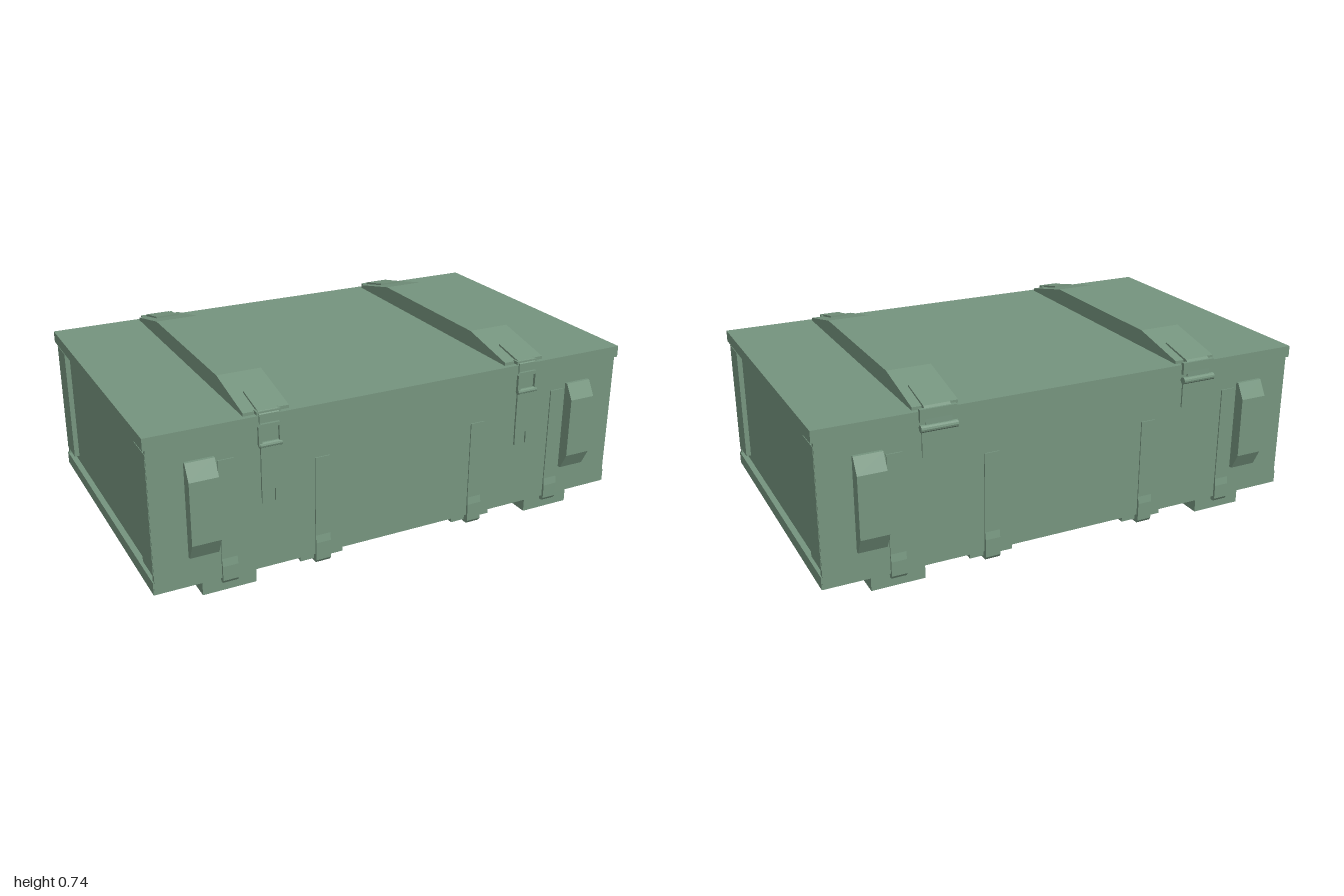
import * as THREE from 'three';

const material = new THREE.MeshStandardMaterial({ color: 0x76957f, flatShading: true });

export function createModel() {
  const model = new THREE.Group();

  const add = (name, geometry, x = 0, y = 0, z = 0) => {
    const mesh = new THREE.Mesh(geometry, material);
    mesh.name = name;
    mesh.position.set(x, y, z);
    model.add(mesh);
    return mesh;
  };
  // Box given by its limits on each axis
  const box = (name, x0, x1, y0, y1, z0, z1) =>
    add(name, new THREE.BoxGeometry(x1 - x0, y1 - y0, z1 - z0), (x0 + x1) / 2, (y0 + y1) / 2, (z0 + z1) / 2);
  // Side profile of [z, y] points, extruded along x and centred on x
  const profile = (name, points, x, width) => {
    const shape = new THREE.Shape(points.map(([z, y]) => new THREE.Vector2(z, y)));
    const geometry = new THREE.ExtrudeGeometry(shape, { depth: width, bevelEnabled: false });
    geometry.translate(0, 0, -width / 2).rotateY(-Math.PI / 2);
    return add(name, geometry, x);
  };

  // Crate shell: floor board, walls and lid
  box('floorBoard', -0.995, 0.995, 0.06, 0.11, -0.597, 0.597);
  box('body', -0.955, 0.955, 0.1, 0.625, -0.59, 0.59);
  box('lid', -1, 1, 0.622, 0.668, -0.604, 0.604);
  for (const s of [-1, 1]) {
    const zs = [0.58 * s, 0.598 * s].sort((a, b) => a - b);
    box('longWall', -0.99, 0.99, 0.06, 0.622, zs[0], zs[1]);
  }

  for (const side of [-1, 1]) {
    const span = (a, b) => (side > 0 ? [a, b] : [-b, -a]);

    // Recessed end panel and its corner battens
    box('endPanel', ...span(0.94, 0.972), 0.11, 0.62, -0.54, 0.54);
    for (const s of [-1, 1]) {
      const z = s > 0 ? [0.48, 0.595] : [-0.595, -0.48];
      box('cornerBatten', ...span(0.95, 0.992), 0.135, 0.605, ...z);
    }

    // Runners below the floor
    box('outerRunner', ...span(0.6, 0.81), 0, 0.062, -0.585, 0.585);
    box('innerRunner', ...span(0.245, 0.42), 0.035, 0.062, -0.585, 0.585);
    box('innerRunnerBand', ...span(0.305, 0.365), 0.025, 0.037, -0.595, 0.595);

    // Sloped batten across the lid
    const lx = 0.545 * side;
    profile('lidBatten', [
      [-0.585, 0.665], [0.585, 0.665], [0.585, 0.68], [0.34, 0.735], [-0.34, 0.735], [-0.585, 0.68],
    ], lx, 0.175);

    for (const face of [-1, 1]) {
      const flip = (pts) => pts.map(([z, y]) => [z * face, y]);

      // Solid chamfered hand grip
      profile('handGrip', flip([
        [0.59, 0.18], [0.612, 0.18], [0.645, 0.245], [0.645, 0.49], [0.61, 0.55], [0.59, 0.55],
      ]), 0.805 * side, 0.11);

      // Metal bands that wrap under the floor
      for (const [x, top, low] of [[0.708, 0.53, 0.04], [0.335, 0.46, 0.025]]) {
        profile('metalBand', flip([
          [0.58, low], [0.6, low], [0.608, low + 0.012], [0.608, 0.11], [0.603, 0.14], [0.603, top], [0.58, top],
        ]), x * side, 0.06);
      }
    }

    // Front hasp: plate on the batten bending over the lid edge
    profile('haspPlate', [
      [0.47, 0.7], [0.47, 0.713], [0.6, 0.685], [0.612, 0.675], [0.612, 0.63], [0.606, 0.63], [0.606, 0.67], [0.59, 0.675],
    ], lx, 0.075);
    box('haspCrossbar', lx - 0.045, lx + 0.045, 0.672, 0.684, 0.58, 0.608);

    // Buckle loop
    const loop = new THREE.Shape();
    loop.moveTo(-0.035, -0.045).lineTo(0.035, -0.045).lineTo(0.046, -0.034).lineTo(0.046, 0.034);
    loop.lineTo(0.035, 0.045).lineTo(-0.035, 0.045).lineTo(-0.046, 0.034).lineTo(-0.046, -0.034);
    const hole = new THREE.Path();
    hole.moveTo(-0.033, -0.031).lineTo(-0.033, 0.031).lineTo(0.033, 0.031).lineTo(0.033, -0.031);
    loop.holes.push(hole);
    add('buckleLoop', new THREE.ExtrudeGeometry(loop, { depth: 0.012, bevelEnabled: false }), lx, 0.597, 0.611);
    const pin = new THREE.CylinderGeometry(0.011, 0.011, 0.085, 10).rotateZ(Math.PI / 2);
    add('bucklePin', pin, lx, 0.562, 0.616);

    // Latch tongue with two prongs
    box('latchTongue', lx - 0.032, lx + 0.032, 0.378, 0.565, 0.595, 0.606);
    for (const s of [-1, 1]) {
      box('latchProng', lx + s * 0.026 - 0.005, lx + s * 0.026 + 0.005, 0.328, 0.385, 0.595, 0.606);
    }

    // Rear hinge: upper leaf, barrel and lower leaf
    profile('hingeUpperLeaf', [
      [-0.46, 0.705], [-0.46, 0.715], [-0.6, 0.685], [-0.616, 0.672], [-0.618, 0.61], [-0.61, 0.61], [-0.608, 0.668], [-0.59, 0.672],
    ], lx, 0.1);
    box('hingeEdge', lx - 0.07, lx + 0.07, 0.63, 0.678, -0.617, -0.6);
    const barrel = new THREE.CylinderGeometry(0.014, 0.014, 0.14, 12).rotateZ(Math.PI / 2);
    add('hingeBarrel', barrel, lx, 0.607, -0.615);
    box('hingeLowerLeaf', lx - 0.06, lx + 0.06, 0.49, 0.607, -0.605, -0.595);
  }
  return model;
}
